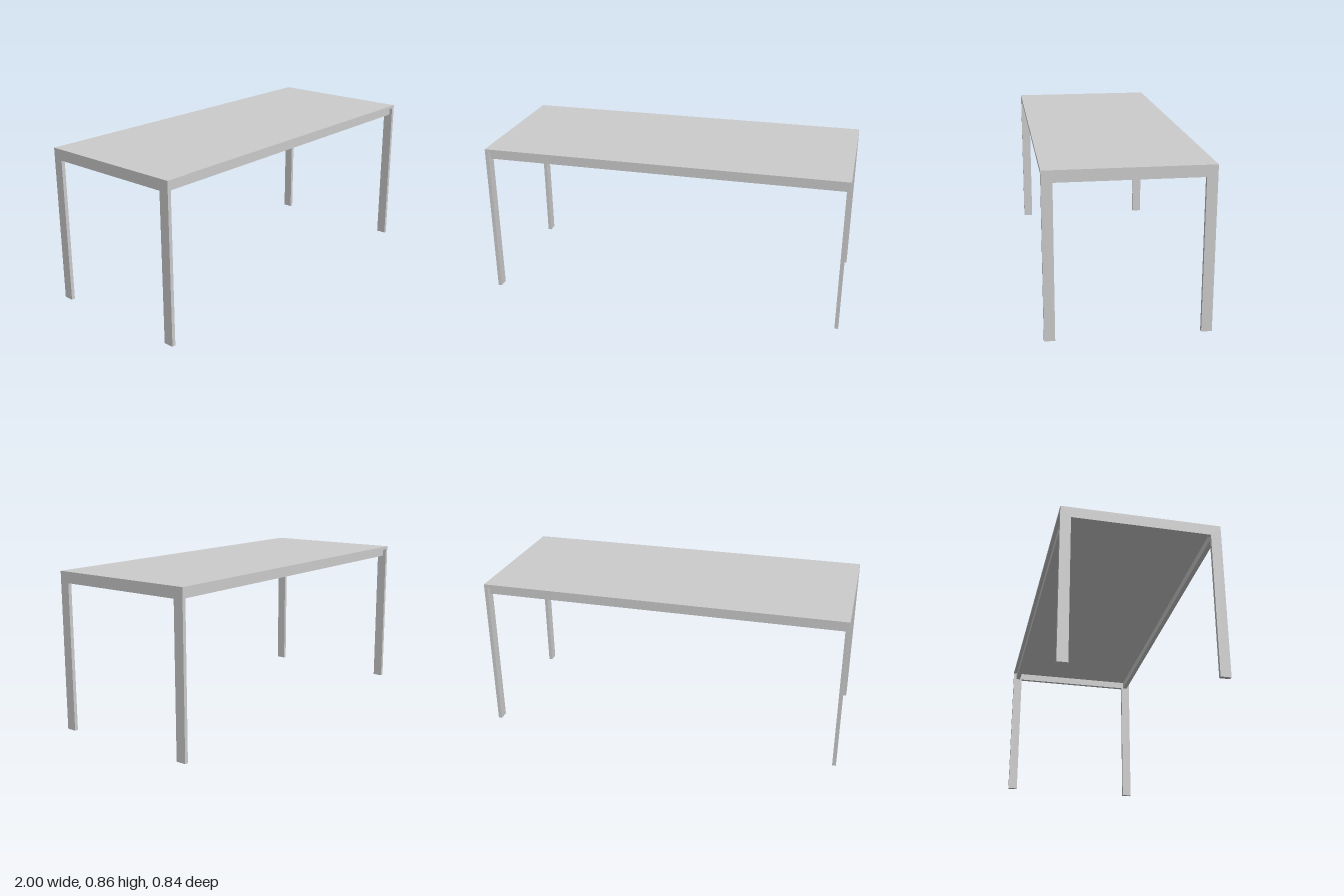
import * as THREE from 'three';

const L = 2, W = 0.84, H = 0.862;   // overall size
const LEG_W = 0.055, LEG_T = 0.02;  // flat leg section
const APRON_Y = 0.802;              // underside of the beams and rails
const SLAB_T = 0.017;

export function createModel() {
  const table = new THREE.Group();
  table.name = 'table';
  const material = new THREE.MeshStandardMaterial({ color: 0xcccccc });

  const addBox = (name, w, h, d, x, y, z) => {
    const mesh = new THREE.Mesh(new THREE.BoxGeometry(w, h, d), material);
    mesh.name = name;
    mesh.position.set(x, y, z);
    table.add(mesh);
  };

  // End frames: two flat legs joined by a beam, cut as one portal shape
  const o = W / 2, i = o - LEG_W;
  const portal = new THREE.Shape([
    [-o, 0], [-i, 0], [-i, APRON_Y], [i, APRON_Y], [i, 0], [o, 0], [o, H], [-o, H],
  ].map(([x, y]) => new THREE.Vector2(x, y)));
  const frameGeometry = new THREE.ExtrudeGeometry(portal, { depth: LEG_T, bevelEnabled: false });
  frameGeometry.translate(0, 0, -LEG_T / 2);
  frameGeometry.rotateY(Math.PI / 2);
  for (const side of [-1, 1]) {
    const frame = new THREE.Mesh(frameGeometry, material);
    frame.name = side > 0 ? 'leftEndFrame' : 'rightEndFrame';
    frame.position.x = side * (L - LEG_T) / 2;
    table.add(frame);
  }

  // Thin top set flush between the end frames
  const span = L - 2 * LEG_T;
  addBox('tableTop', span, SLAB_T, W, 0, H - SLAB_T / 2, 0);

  // Long rails, set back slightly under the edges of the top
  const railH = H - SLAB_T - APRON_Y, railT = 0.025, setback = 0.018;
  for (const side of [-1, 1]) {
    addBox(side > 0 ? 'frontRail' : 'backRail', span, railH, railT,
      0, APRON_Y + railH / 2, side * (W / 2 - setback - railT / 2));
  }
  return table;
}
